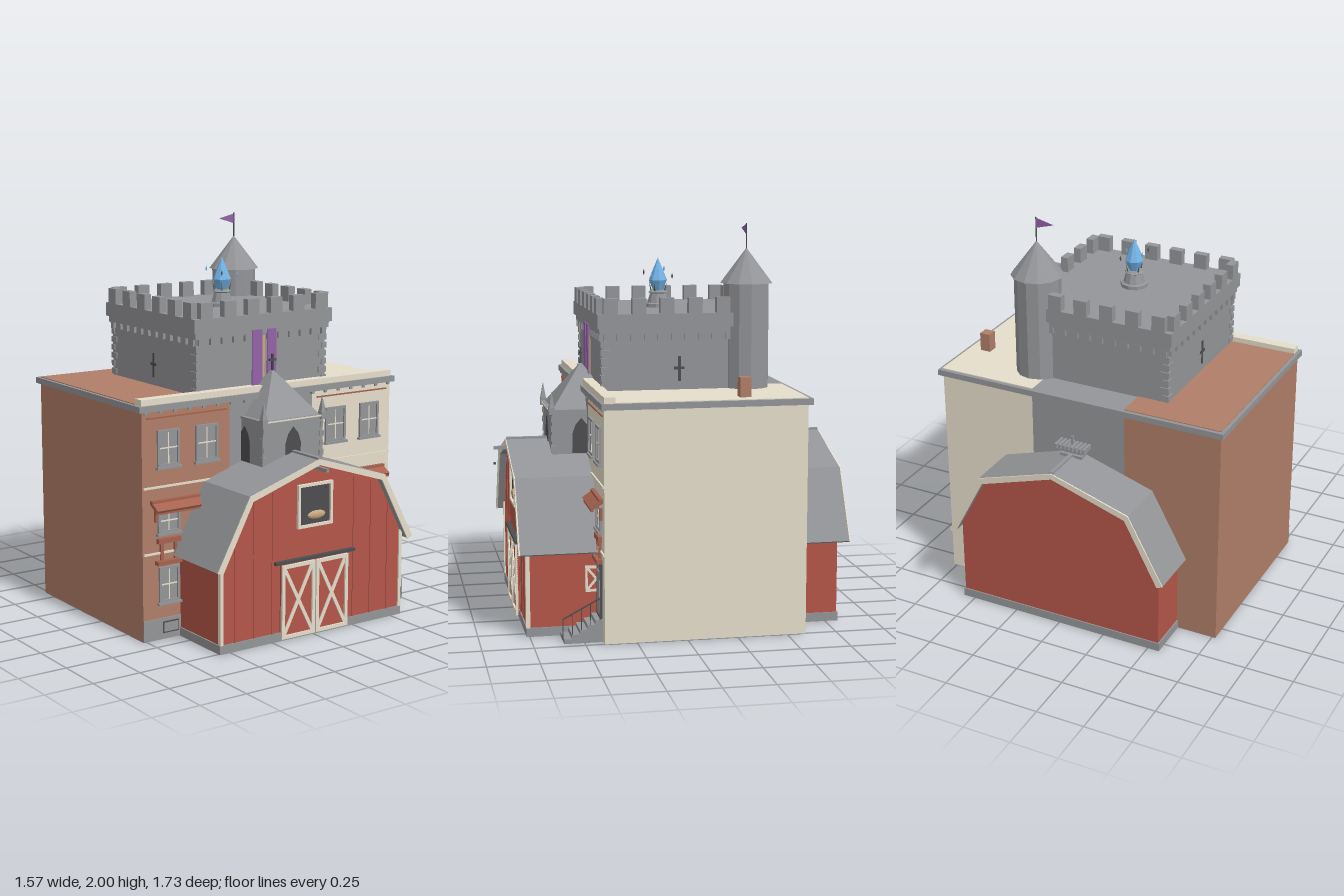
import * as THREE from 'three';

const mat = (name, color) => {
  const m = new THREE.MeshStandardMaterial({ color, side: THREE.DoubleSide, flatShading: true });
  m.name = name;
  return m;
};

export function createModel() {
  const root = new THREE.Group();
  root.name = 'barnTownhouseCastle';
  const red = mat('barnRed', 0xb45648), brick = mat('brick', 0xb07e68), cream = mat('cream', 0xe6decb);
  const grey = mat('stoneGrey', 0x949598), dark = mat('darkIron', 0x4d4e50), purple = mat('bannerPurple', 0x9463a8);
  const blue = mat('crystalBlue', 0x74b4e6), rust = mat('awningRust', 0xa5624f), tan = mat('hay', 0xc8a880);

  const add = (name, geo, m, x = 0, y = 0, z = 0) => {
    const mesh = new THREE.Mesh(geo, m);
    mesh.name = name;
    mesh.position.set(x, y, z);
    root.add(mesh);
    return mesh;
  };
  // Box given by its extents on each axis
  const box = (name, m, x0, x1, y0, y1, z0, z1) =>
    add(name, new THREE.BoxGeometry(x1 - x0, y1 - y0, z1 - z0), m, (x0 + x1) / 2, (y0 + y1) / 2, (z0 + z1) / 2);
  // Flat board between two points in a plane facing the front
  const board = (name, m, x0, y0, x1, y1, w, z, d) => {
    const b = add(name, new THREE.BoxGeometry(Math.hypot(x1 - x0, y1 - y0), w, d), m, (x0 + x1) / 2, (y0 + y1) / 2, z);
    b.rotation.z = Math.atan2(y1 - y0, x1 - x0);
  };
  const frame = (name, m, x0, x1, y0, y1, w, z0, z1) => {
    box(name, m, x0, x1, y0, y0 + w, z0, z1);
    box(name, m, x0, x1, y1 - w, y1, z0, z1);
    box(name, m, x0, x0 + w, y0 + w, y1 - w, z0, z1);
    box(name, m, x1 - w, x1, y0 + w, y1 - w, z0, z1);
  };
  const extrude = (name, m, pts, z0, z1) => {
    const shape = new THREE.Shape(pts.map(p => new THREE.Vector2(p[0], p[1])));
    return add(name, new THREE.ExtrudeGeometry(shape, { depth: z1 - z0, bevelEnabled: false }), m, 0, 0, z0);
  };
  const mirrored = pts => [...pts, ...pts.filter(p => p[0] > 0).reverse().map(p => [-p[0], p[1]])];

  // Townhouse block in three colours
  box('brickHouse', brick, -0.77, -0.26, 0.004, 1.145, -0.59, 0.41);
  box('stoneHouse', grey, -0.26, 0.25, 0.004, 1.145, -0.59, 0.405);
  box('creamHouse', cream, 0.25, 0.765, 0.004, 1.145, -0.59, 0.41);
  box('houseFloor', grey, -0.768, 0.763, 0, 0.004, -0.588, 0.408);
  box('cornice', grey, -0.788, 0.785, 1.145, 1.175, -0.61, 0.425);
  box('brickRoof', brick, -0.77, -0.26, 1.175, 1.179, -0.59, 0.355);
  box('creamRoof', cream, 0.25, 0.77, 1.175, 1.179, -0.59, 0.355);
  box('parapet', cream, -0.77, 0.77, 1.175, 1.205, 0.355, 0.41);
  for (let i = 0; i < 19; i++) {
    const x = -0.75 + i * 0.0833;
    box('dentil', grey, x - 0.008, x + 0.008, 1.132, 1.145, 0.405, 0.42);
  }
  box('chimney', brick, 0.65, 0.705, 1.175, 1.275, -0.32, -0.265);

  // Facade windows, ledges, awnings
  const pane = (x0, x1, y0, y1) => {
    box('windowGlass', grey, x0, x1, y0, y1, 0.41, 0.414);
    frame('windowFrame', grey, x0, x1, y0, y1, 0.012, 0.41, 0.422);
    const cx = (x0 + x1) / 2, cy = (y0 + y1) / 2;
    box('windowMullion', cream, cx - 0.003, cx + 0.003, y0 + 0.012, y1 - 0.012, 0.414, 0.418);
    box('windowMullion', cream, x0 + 0.012, x1 - 0.012, cy - 0.003, cy + 0.003, 0.414, 0.418);
    box('windowSill', grey, x0 - 0.008, x1 + 0.008, y0 - 0.012, y0, 0.41, 0.43);
  };
  for (const s of [-1, 1]) {
    const span = (a, b) => (s > 0 ? [a, b] : [-b, -a]);
    pane(...span(0.335, 0.465), 0.87, 1.05);
    pane(...span(0.56, 0.685), 0.87, 1.05);
    pane(...span(0.56, 0.685), 0.54, 0.66);
    const ledge = (m, a, b, y0, y1, z) => box('ledge', m, ...span(a, b), y0, y1, 0.408, z);
    ledge(rust, 0.28, 0.74, 1.108, 1.115, 0.416);
    ledge(cream, 0.262, 0.765, 0.766, 0.776, 0.418);
    ledge(cream, 0.5, 0.765, 0.437, 0.447, 0.418);
    ledge(rust, 0.56, 0.7, 0.385, 0.405, 0.44);
    ledge(rust, 0.56, 0.69, 0.49, 0.515, 0.43);
    for (const x of [0.585, 0.665]) box('sidePost', rust, ...span(x - 0.008, x + 0.008), 0.405, 0.49, 0.408, 0.422);
    // Sloping awning with front rail
    const awning = add('awning', new THREE.BoxGeometry(0.275, 0.018, 0.075), rust, s * 0.585, 0.68, 0.438);
    awning.rotation.x = 0.55;
    box('awningRail', rust, ...span(0.447, 0.725), 0.648, 0.672, 0.455, 0.468);
    box('awningTop', rust, ...span(0.447, 0.725), 0.69, 0.708, 0.41, 0.43);
    for (const x of [0.47, 0.69]) box('awningBracket', rust, ...span(x, x + 0.015), 0.6, 0.66, 0.41, 0.425);
  }
  pane(-0.68, -0.565, 0.19, 0.37);
  box('brickPlinth', grey, -0.77, -0.555, 0.004, 0.11, 0.405, 0.416);
  box('cellarWindow', dark, -0.662, -0.568, 0.033, 0.092, 0.416, 0.418);
  box('cellarGlass', grey, -0.655, -0.575, 0.04, 0.085, 0.418, 0.421);
  box('frontDoor', grey, 0.585, 0.69, 0.11, 0.37, 0.41, 0.418);
  frame('doorFrame', dark, 0.58, 0.695, 0.11, 0.38, 0.008, 0.41, 0.422);
  box('doorPanel', grey, 0.605, 0.67, 0.14, 0.34, 0.418, 0.424);

  // Front steps with railing
  for (let i = 0; i < 5; i++) box('step', grey, 0.57, 0.71, 0, 0.11 - i * 0.022, 0.41 + i * 0.038, 0.448 + i * 0.038);
  const rail = add('stairRail', new THREE.BoxGeometry(0.006, 0.006, 0.215), dark, 0.705, 0.172, 0.51);
  rail.rotation.x = Math.atan2(0.1, 0.19);
  for (let i = 0; i < 5; i++) {
    const z = 0.425 + i * 0.045;
    box('stairPost', dark, 0.703, 0.707, 0.02, 0.217 - i * 0.0235, z - 0.002, z + 0.002);
  }

  // Barn body and gambrel roof
  extrude('barnWalls', red, mirrored([[0, 0.87], [0.395, 0.742], [0.555, 0.46], [0.555, 0.005]]), -0.81, 0.76);
  box('barnFoundation', grey, -0.562, 0.562, 0.001, 0.045, -0.816, 0.766);
  const band = t => {
    const outer = [[-0.6, 0.42], [-0.413, 0.765], [0, 0.895], [0.413, 0.765], [0.6, 0.42]];
    const inner = [[0.6 - t, 0.42 - t * 0.45], [0.413 - t * 0.6, 0.765 - t * 0.9], [0, 0.895 - t]];
    return [...outer, ...inner, [-inner[1][0], inner[1][1]], [-inner[0][0], inner[0][1]]];
  };
  extrude('barnRoof', grey, band(0.025), -0.86, 0.8);
  extrude('barnTrimFront', cream, band(0.03), 0.797, 0.804);
  extrude('barnTrimBack', cream, band(0.03), -0.866, -0.858);
  box('ridgeBeam', grey, -0.007, 0.007, 0.84, 0.857, 0.76, 0.865);
  box('hoistHook', dark, -0.006, 0.006, 0.762, 0.774, 0.855, 0.865);
  box('ridgeCap', grey, -0.01, 0.01, 0.888, 0.902, -0.86, 0.8);
  for (const s of [-1, 1]) {
    box('cornerBoard', cream, s * 0.553 - 0.009, s * 0.553 + 0.009, 0.045, 0.45, 0.747, 0.768);
    for (const x of [0.25, 0.36, 0.47])
      box('wallBatten', red, s * x - 0.005, s * x + 0.005, 0.045, 0.85 - x * 0.33 - (x > 0.4 ? 0.09 : 0), 0.76, 0.764);
  }
  // Barn doors with crossed boards
  for (const s of [-1, 1]) {
    const [a, b] = s > 0 ? [0.003, 0.203] : [-0.205, -0.003];
    box('barnDoor', red, a, b, 0.012, 0.385, 0.76, 0.772);
    board('doorCross', cream, a + 0.015, 0.03, b - 0.015, 0.37, 0.018, 0.775, 0.006);
    board('doorCross', cream, a + 0.015, 0.37, b - 0.015, 0.03, 0.018, 0.776, 0.006);
    frame('doorBoards', cream, a, b, 0.012, 0.385, 0.018, 0.768, 0.781);
  }
  box('doorRail', dark, -0.245, 0.243, 0.393, 0.407, 0.76, 0.785);
  // Hay loft
  box('loftOpening', dark, -0.1, 0.1, 0.56, 0.765, 0.76, 0.764);
  frame('loftFrame', cream, -0.106, 0.106, 0.553, 0.772, 0.014, 0.76, 0.775);
  const hay = add('hayPile', new THREE.SphereGeometry(0.055, 10, 6), tan, 0.012, 0.61, 0.765);
  hay.scale.set(1, 0.4, 0.25);
  // Side door of the barn
  box('sideDoor', red, 0.555, 0.562, 0.215, 0.345, 0.38, 0.475);
  for (const [y0, y1, z0, z1] of [[0.215, 0.228, 0.38, 0.475], [0.332, 0.345, 0.38, 0.475], [0.228, 0.332, 0.463, 0.475]])
    box('sideDoorFrame', cream, 0.555, 0.567, y0, y1, z0, z1);
  for (const s of [-1, 1]) {
    const b = add('sideDoorCross', new THREE.BoxGeometry(0.005, 0.012, 0.135), cream, 0.565, 0.28, 0.42);
    b.rotation.x = s * 0.88;
  }
  // Slatted platform behind the rear ridge
  for (let i = 0; i < 8; i++) {
    const x = -0.077 + i * 0.022;
    box('platformSlat', grey, x - 0.006, x + 0.006, 0.925, 0.95, -0.675, -0.6);
  }
  for (const y of [0.885, 0.91]) box('platformBeam', grey, -0.06, 0.06, y, y + 0.015, -0.66, -0.6);
  box('platformPole', grey, -0.006, 0.006, 0.95, 0.995, -0.645, -0.635);

  // Stone bell tower with spire
  box('bellTower', grey, -0.185, 0.185, 0.72, 1.055, 0.38, 0.585);
  box('towerLedge', grey, -0.19, 0.19, 1.052, 1.064, 0.38, 0.595);
  box('towerLedgeTrim', cream, -0.185, 0.185, 1.055, 1.062, 0.595, 0.598);
  const pyramid = (name, r, h, x, y, z) =>
    add(name, new THREE.ConeGeometry(r * Math.SQRT2, h, 4).rotateY(Math.PI / 4), grey, x, y + h / 2, z);
  pyramid('spire', 0.167, 0.22, 0, 1.064, 0.41);
  for (const s of [-1, 1]) {
    box('pinnacleBase', grey, s * 0.18 - 0.015, s * 0.18 + 0.015, 1.04, 1.075, 0.57, 0.6);
    pyramid('pinnacle', 0.014, 0.085, s * 0.18, 1.075, 0.585);
    for (let i = 0; i < 6; i++) {
      const w = i % 2 ? 0.018 : 0.028, y = 0.76 + i * 0.048;
      box('towerQuoin', grey, s * 0.175 - w / 2, s * 0.175 + w / 2, y, y + 0.028, 0.565, 0.59);
    }
  }
  const lancet = [[0, 1.02], [0.03, 0.985], [0.045, 0.94], [0.045, 0.84]];
  extrude('towerWindow', dark, mirrored(lancet), 0.585, 0.589);
  const sideLancet = extrude('towerSideWindow', dark, mirrored(lancet), -0.188, 0.188);
  sideLancet.rotation.y = Math.PI / 2;
  sideLancet.position.set(-0.188, 0, 0.435);
  box('spireCross', dark, -0.005, 0.005, 1.27, 1.36, 0.405, 0.415);
  box('spireCrossArm', dark, -0.02, 0.02, 1.325, 1.336, 0.405, 0.415);

  // Castle keep
  box('keep', grey, -0.42, 0.37, 1.175, 1.47, -0.435, 0.357);
  box('keepDeck', grey, -0.446, 0.395, 1.49, 1.56, -0.46, 0.382);
  box('keepMoulding', grey, -0.435, 0.384, 1.46, 1.49, -0.449, 0.371);
  for (let i = 0; i < 6; i++) {
    const x = -0.375 + i * 0.14, z = 0.315 - i * 0.142;
    for (const e of [-0.46, 0.342]) box('merlon', grey, x - 0.035, x + 0.035, 1.56, 1.638, e, e + 0.04);
    for (const e of [-0.446, 0.355]) box('merlon', grey, e, e + 0.04, 1.56, 1.638, z - 0.035, z + 0.035);
  }
  for (let i = 0; i < 12; i++) {
    const x = -0.4 + i * 0.0685, z = 0.337 - i * 0.0685;
    for (const e of [-0.45, 0.345]) box('corbel', grey, x - 0.014, x + 0.014, 1.428, 1.465, e, e + 0.027);
    for (const e of [-0.435, 0.357]) box('corbel', grey, e, e + 0.027, 1.428, 1.465, z - 0.014, z + 0.014);
  }
  for (const [x, sx] of [[-0.42, 1], [0.37, -1]]) for (const [z, sz] of [[-0.435, 1], [0.357, -1]])
    for (let i = 0; i < 6; i++) {
      const w = i % 2 ? 0.05 : 0.03, d = i % 2 ? 0.03 : 0.05, y = 1.185 + i * 0.042;
      add('keepQuoin', new THREE.BoxGeometry(w, 0.03, d), grey, x + sx * (w / 2 - 0.006), y + 0.015, z + sz * (d / 2 - 0.006));
    }
  box('banner', purple, -0.1, -0.04, 1.19, 1.482, 0.372, 0.379);
  box('banner', purple, -0.008, 0.046, 1.19, 1.482, 0.372, 0.379);
  box('keepSlit', tan, -0.035, -0.013, 1.2, 1.45, 0.357, 0.362);
  for (const x of [-0.424, 0.37]) {
    box('arrowSlit', dark, x, x + 0.004, 1.22, 1.345, -0.04, -0.026);
    box('arrowSlitArm', dark, x, x + 0.004, 1.28, 1.294, -0.06, -0.006);
  }

  // Round turret with flag
  add('turret', new THREE.CylinderGeometry(0.117, 0.117, 0.53, 12), grey, 0.318, 1.44, -0.385);
  add('turretRoof', new THREE.ConeGeometry(0.133, 0.175, 12), grey, 0.318, 1.79, -0.385);
  add('flagPole', new THREE.CylinderGeometry(0.003, 0.003, 0.14, 6), dark, 0.318, 1.93, -0.385);
  extrude('flag', purple, [[0.316, 1.995], [0.316, 1.945], [0.222, 1.973]], -0.387, -0.383);

  // Crystal on its pedestal
  const lathe = (pts, n) => new THREE.LatheGeometry(pts.map(p => new THREE.Vector2(p[0], p[1])), n);
  add('pedestal', lathe([[0.07, 0], [0.07, 0.018], [0.055, 0.022], [0.042, 0.07], [0.05, 0.075], [0.04, 0.085], [0, 0.085]], 10), grey, -0.025, 1.56, 0);
  add('crystal', lathe([[0, 0], [0.025, 0.006], [0.048, 0.06], [0.028, 0.11], [0, 0.175]], 8), blue, -0.025, 1.638, 0);
  for (let i = 0; i < 4; i++) {
    const a = i * 1.571 + 0.6;
    const claw = add('crystalClaw', new THREE.ConeGeometry(0.004, 0.05, 4), dark, -0.025 + Math.cos(a) * 0.044, 1.665, Math.sin(a) * 0.044);
    claw.rotation.set(Math.sin(a) * 0.25, 0, -Math.cos(a) * 0.25);
    add('crystalShard', new THREE.OctahedronGeometry(0.011).scale(0.5, 1.4, 0.5), i % 2 ? dark : blue, -0.025 + Math.cos(a) * 0.08, 1.72 + (i % 3) * 0.016, Math.sin(a) * 0.08);
  }
  return root;
}
